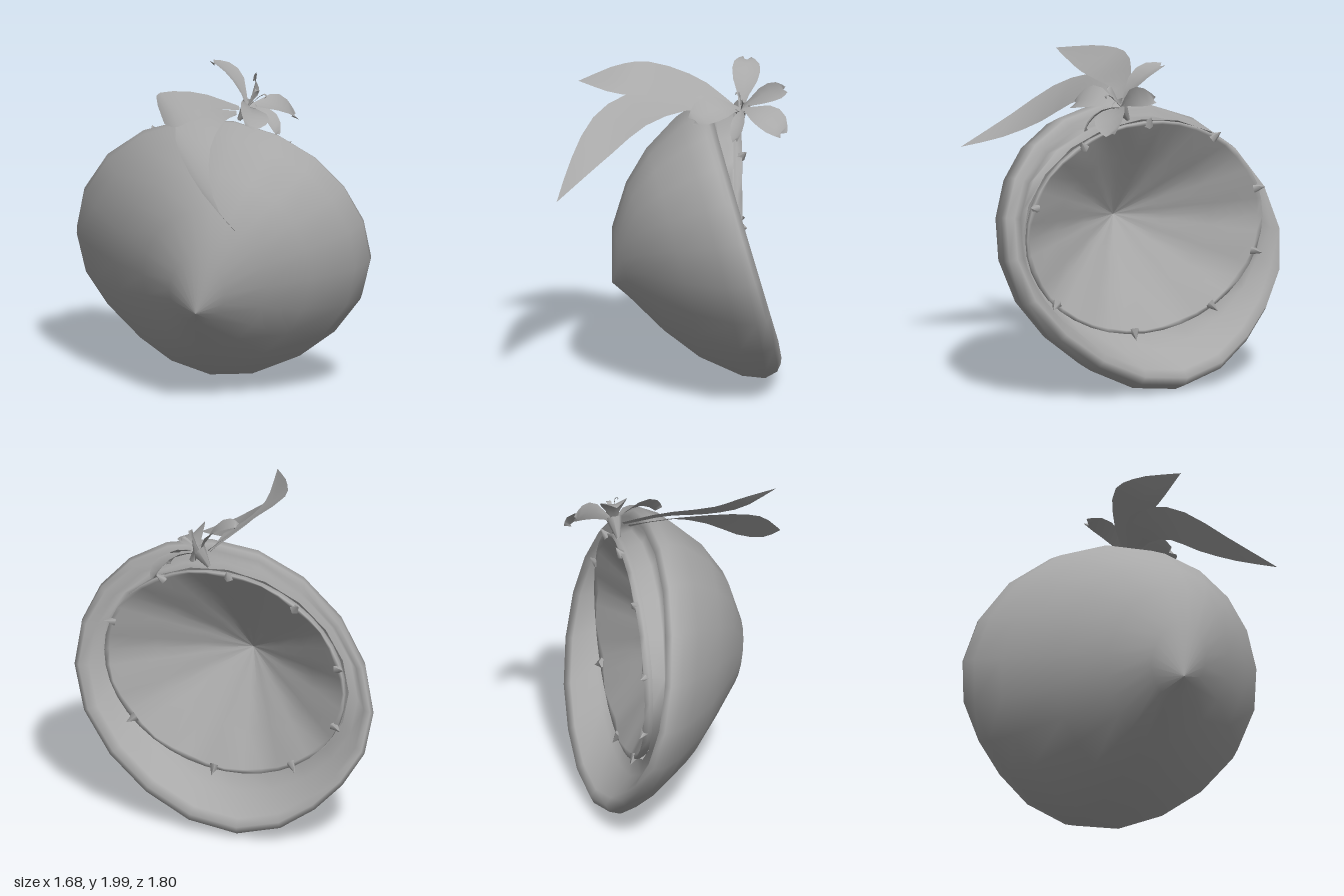
import * as THREE from 'three';

const V = (x, y, z) => new THREE.Vector3(x, y, z);
const grey = new THREE.MeshStandardMaterial({ color: 0xa8a8a8, side: THREE.DoubleSide });
grey.name = 'plain grey';

// Surface through rows of points; closed joins each row's end to its start
function skin(name, rows, closed) {
  const n = rows[0].length, index = [];
  for (let i = 0; i < rows.length - 1; i++) {
    for (let j = 0; j < (closed ? n : n - 1); j++) {
      const k = (j + 1) % n;
      const a = i * n + j, b = i * n + k, c = a + n, d = b + n;
      index.push(a, c, d, a, d, b);
    }
  }
  const g = new THREE.BufferGeometry().setFromPoints(rows.flat());
  g.setIndex(index);
  g.computeVertexNormals();
  const mesh = new THREE.Mesh(g, grey);
  mesh.name = name;
  return mesh;
}

// Ring of points on a tilted ellipse
function ring(n, at) {
  return Array.from({ length: n }, (_, j) => at((j / n) * Math.PI * 2));
}

// Leaf blade between two edge curves, with a curved midrib
function blade(name, left, mid, right) {
  const curves = [left, mid, right].map((p) => new THREE.CatmullRomCurve3(p.map((q) => V(...q))));
  const rows = [];
  for (let i = 0; i <= 10; i++) rows.push(curves.map((c) => c.getPoint(i / 10)));
  return skin(name, rows, false);
}

export function createModel() {
  const model = new THREE.Group();
  model.name = 'halfFruitWithFlower';

  // Pleated hollow lining set in the opening
  const D = V(0, 0.99, -0.41), du = V(0.66, 0, 0.44), dv = V(0, 0.65, 0);
  const dn = V(-0.555, 0, 0.832);
  const onDisc = (t, r, depth) => D.clone().addScaledVector(du, r * Math.cos(t))
    .addScaledVector(dv, r * Math.sin(t)).addScaledVector(dn, depth);
  const lining = [[0.98, 0.06], [1, 0.03], [1, 0], [0.97, 0.01], [0.65, 0.15], [0.33, 0.29], [0, 0.42]]
    .map(([r, d], i) => ring(40, (t) => onDisc(t, r, d + (i > 2 ? 0.014 * r * Math.cos(10 * t) : 0))));
  model.add(skin('lining', lining, true));

  // Shell: tilted off-centre ellipses of [depth, reach along +u, +v, -u, -v]
  const C = V(0, 0.92, -0.42), u = V(0.84, 0.02, 0.44), v = V(0.04, 0.82, 0.24);
  const n = u.clone().cross(v).normalize();
  const shell = [
    [0.84, 0.14, -0.07, -0.14, 0.07],
    [0.76, 0.3, 0.33, 0.08, 0.22],
    [0.61, 0.54, 0.63, 0.32, 0.53],
    [0.44, 0.76, 0.82, 0.58, 0.8],
    [0.22, 0.98, 0.97, 0.84, 1.02],
    [0.09, 1.03, 1.01, 0.96, 1.09],
    [0.01, 1.02, 0.99, 0.99, 1.07],
    [-0.025, 0.98, 0.95, 0.98, 1.02],
    [0.0, 0.92, 0.9, 0.93, 0.96],
  ].map(([d, pu, pv, nu, nv]) => ring(20, (t) => {
    // Flatten the diagonals unevenly, and sink the rim on its upper left side
    const s2 = Math.sin(2 * t);
    const skew = 1 - 0.04 * s2 - (t > Math.PI ? 0.045 * s2 * s2 : 0);
    const sink = d < 0.05 ? 0.05 * Math.max(0, Math.sin(t + 0.7)) : 0;
    const a = (pu - nu) / 2 + skew * Math.cos(t) * (pu + nu) / 2;
    const b = (pv - nv) / 2 + skew * Math.sin(t) * (pv + nv) / 2;
    return C.clone().addScaledVector(u, a).addScaledVector(v, b).addScaledVector(n, d + sink);
  }));
  // Inner wall from the lip down to the lining's edge
  const lip = shell[shell.length - 1];
  const foot = ring(20, (t) => onDisc(t, 1.01, 0.05));
  shell.push(lip.map((p, j) => p.clone().lerp(foot[j], 0.55).addScaledVector(n, 0.04)), foot);
  model.add(skin('shell', shell, true));

  // Small thorns around the lining's edge
  const thorns = new THREE.Group();
  thorns.name = 'thorns';
  for (const deg of [18, 58, 92, 127, 165, 200, 235, 275, 320]) {
    const t = THREE.MathUtils.degToRad(deg);
    const p = onDisc(t, 0.99, 0);
    const dir = p.clone().sub(D).normalize().addScaledVector(dn, -0.7).normalize();
    const thorn = new THREE.Mesh(new THREE.ConeGeometry(0.032, 0.07, 5), grey);
    thorn.name = 'thorn';
    thorn.position.copy(p).addScaledVector(dir, 0.015);
    thorn.quaternion.setFromUnitVectors(V(0, 1, 0), dir);
    thorns.add(thorn);
  }
  model.add(thorns);

  // Two long leaves
  model.add(blade('upperLeaf',
    [[0.08, 1.76, -0.31], [-0.17, 1.88, -0.22], [-0.43, 1.95, -0.03], [-0.47, 1.955, 0.16], [-0.46, 1.91, 0.46]],
    [[0.08, 1.75, -0.3], [-0.14, 1.83, -0.16], [-0.33, 1.86, 0.02], [-0.41, 1.87, 0.2], [-0.46, 1.91, 0.46]],
    [[0.08, 1.74, -0.29], [-0.1, 1.8, -0.12], [-0.25, 1.8, 0.07], [-0.37, 1.82, 0.26], [-0.46, 1.91, 0.46]]));
  model.add(blade('lowerLeaf',
    [[0.06, 1.74, -0.28], [-0.18, 1.81, -0.1], [-0.36, 1.8, 0.18], [-0.36, 1.7, 0.42], [-0.25, 1.52, 0.65], [-0.06, 1.33, 0.89]],
    [[0.06, 1.73, -0.27], [-0.12, 1.77, -0.07], [-0.26, 1.73, 0.18], [-0.28, 1.61, 0.42], [-0.2, 1.46, 0.65], [-0.06, 1.33, 0.89]],
    [[0.06, 1.72, -0.26], [-0.05, 1.74, -0.05], [-0.15, 1.66, 0.18], [-0.18, 1.52, 0.4], [-0.15, 1.4, 0.65], [-0.06, 1.33, 0.89]]));

  // Flower: notched petals of [tip, half width, turn about their own length]
  const flower = new THREE.Group();
  flower.name = 'flower';
  const base = V(0.13, 1.745, -0.32), axis = V(0.5, 0.83, 0.2).normalize();
  const petal = (name, tip, width, roll) => {
    const along = tip.clone().sub(base), dir = along.clone().normalize();
    const side = dir.clone().cross(axis).normalize().applyAxisAngle(dir, roll);
    const up = side.clone().cross(dir);
    const rows = [[0, 0.15], [0.2, 0.4], [0.42, 0.85], [0.62, 1], [0.8, 0.9], [0.92, 0.6], [1, 0.3]].map(([s, w]) => {
      const mid = base.clone().addScaledVector(along, s).addScaledVector(axis, 0.22 * s * (1 - s));
      return [-1, 0, 1].map((k) => mid.clone().addScaledVector(side, k * w * width)
        .addScaledVector(up, Math.abs(k) * w * width * 0.25)
        .addScaledVector(along, k === 0 && s === 1 ? -0.1 : 0));
    });
    flower.add(skin(name, rows, false));
  };
  petal('petal', V(-0.07, 1.99, -0.5), 0.085, 0);
  petal('petal', V(0.2, 1.84, -0.6), 0.06, 0.9);
  petal('petal', V(0.44, 1.64, -0.42), 0.1, 0);
  petal('petal', V(0.3, 1.61, -0.16), 0.045, 0.5);
  petal('petal', V(0.1, 1.72, 0.03), 0.1, 0);
  for (const tip of [V(0.17, 1.87, -0.25), V(0.24, 1.82, -0.27)]) petal('stamen', tip, 0.015, 0);

  // Trumpet-shaped flower base
  const cup = new THREE.Mesh(new THREE.CylinderGeometry(0.05, 0.012, 0.13, 8, 1, true), grey);
  cup.name = 'flowerCup';
  cup.position.copy(base).addScaledVector(axis, -0.03);
  cup.quaternion.setFromUnitVectors(V(0, 1, 0), axis);
  flower.add(cup);
  model.add(flower);

  return model;
}
